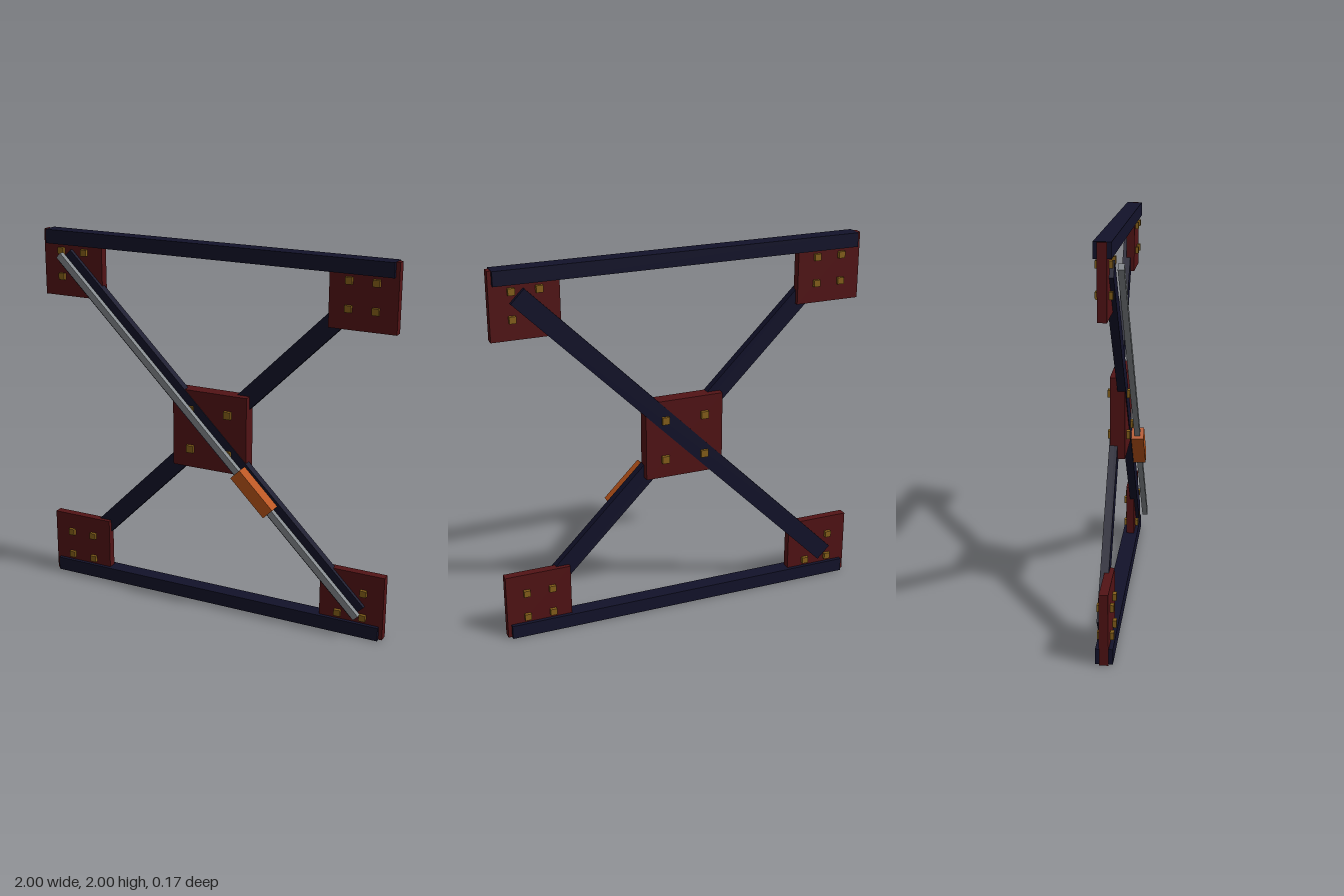
import * as THREE from 'three';

const mat = (name, color) => {
  const m = new THREE.MeshStandardMaterial({ color });
  m.name = name;
  return m;
};

export function createModel() {
  const navy = mat('navy steel', 0x12122a);
  const red = mat('dark red plate', 0x521315);
  const gold = mat('dull gold bolt', 0x86601a);
  const grey = mat('grey rod', 0x82878b);
  const orange = mat('orange sleeve', 0xb9541a);

  const model = new THREE.Group();
  model.name = 'crossBracedFrame';

  // Box by size and centre, turned in the frame plane
  const box = (name, material, w, h, d, x, y, z, turn = 0) => {
    const mesh = new THREE.Mesh(new THREE.BoxGeometry(w, h, d), material);
    mesh.name = name;
    mesh.position.set(x, y, z);
    mesh.rotation.z = turn;
    model.add(mesh);
  };

  const midZ = -0.025;
  const midY = 1.003;
  const slope = Math.PI / 4;

  // Horizontal beams
  box('topBeam', navy, 1.96, 0.075, 0.085, 0, 1.9625, midZ);
  box('bottomBeam', navy, 1.96, 0.075, 0.085, 0, 0.0375, midZ);

  // Crossing diagonals, one in front of the other
  box('frontDiagonal', navy, 2.44, 0.1, 0.043, 0, midY, -0.0035, -slope);
  box('backDiagonal', navy, 2.44, 0.1, 0.043, 0, midY, -0.0465, slope);

  // Corner plates, each with four bolts through it
  for (const sx of [-1, 1]) {
    for (const sy of [-1, 1]) {
      box('cornerPlate', red, 0.355, 0.355, 0.045, sx * 0.8225, 1 + sy * 0.821, midZ);
      for (const bx of [0.75, 0.89]) {
        for (const by of [0.75, 0.89]) {
          box('cornerBolt', gold, 0.035, 0.035, 0.082, sx * bx, 1 + sy * by, midZ);
        }
      }
      // Centre bolts
      box('centreBolt', gold, 0.04, 0.04, 0.116, sx * 0.11, midY + sy * 0.11, midZ);
    }
  }

  // Centre plate
  box('centrePlate', red, 0.43, 0.43, 0.078, 0, midY, midZ);

  // Tension rod with its adjusting sleeve
  box('tensionRod', grey, 2.47, 0.036, 0.03, 0, midY, 0.05, -slope);
  box('sleeve', orange, 0.27, 0.072, 0.07, 0.28, midY - 0.28, 0.05, -slope);

  return model;
}
